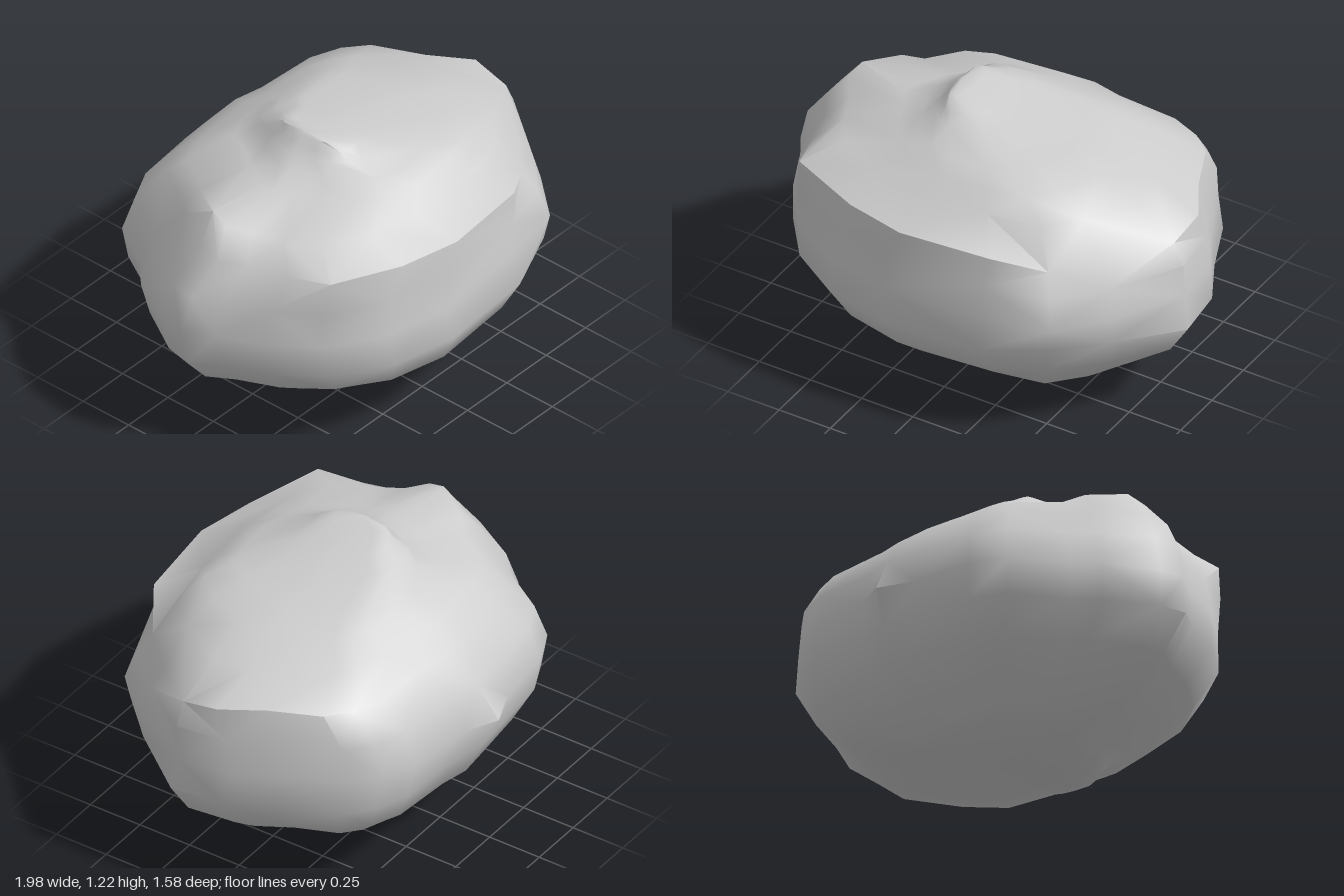
import * as THREE from 'three';
import { toCreasedNormals } from 'three/addons/utils/BufferGeometryUtils.js';

// Widest outline of the boulder seen from above (x, z)
const OUTLINE = [
  [-1, 0.02], [-0.98, -0.1], [-0.85, -0.32], [-0.75, -0.41], [-0.61, -0.63], [-0.45, -0.7],
  [-0.15, -0.73], [0.01, -0.74], [0.16, -0.71], [0.48, -0.69], [0.63, -0.63], [0.74, -0.54],
  [0.85, -0.3], [0.97, -0.1], [1, 0.15], [0.83, 0.48], [0.65, 0.69], [0.33, 0.75],
  [-0.14, 0.79], [-0.44, 0.72], [-0.68, 0.56], [-0.84, 0.35], [-0.92, 0.15],
];

// Cross-sections: height, min x, max x, back z, front z
const RINGS = [
  [0.03, -0.31, 0.04, -0.1, 0.32],
  [0.08, -0.45, 0.28, -0.36, 0.35],
  [0.13, -0.57, 0.52, -0.42, 0.42],
  [0.2, -0.68, 0.74, -0.52, 0.57],
  [0.32, -0.86, 0.9, -0.65, 0.71],
  [0.47, -0.98, 1, -0.72, 0.795],
  [0.62, -1, 0.97, -0.74, 0.765],
  [0.78, -0.95, 0.97, -0.7, 0.76],
  [0.92, -0.84, 0.96, -0.59, 0.75],
  [1.0, -0.74, 0.73, -0.48, 0.57],
  [1.07, -0.46, 0.54, -0.37, 0.5],
  [1.11, -0.35, 0.38, -0.3, 0.41],
  [1.15, -0.29, 0.1, -0.23, 0.27],
  [1.18, -0.25, 0, -0.16, 0.22],
  [1.21, -0.22, -0.14, -0.1, 0.15],
];

// Planes that chip the front left corner above and below its ledge
const CHIPS = [
  new THREE.Plane().setComponents(0.318, 0.3, 0.318, -0.609).normalize(),
  new THREE.Plane().setComponents(0.304, -0.21, 0.304, -0.274).normalize(),
];

// Knobs that stand out of the surface: centre, push, radius
const KNOBS = [
  [[-0.7, 1.0, -0.08], [0, 0.08, 0], 0.18], // upper right shoulder
  [[-0.57, 0.92, 0.55], [-0.12, 0.03, 0.02], 0.17], // front right shoulder
  [[0.01, 0.62, -0.74], [0, 0, -0.06], 0.11], // back spur
].map(([c, push, r]) => [new THREE.Vector3(...c), new THREE.Vector3(...push), r]);

function shapePoint(p, ring, j) {
  // Small uneven dents, always inward
  const dent = 0.006 * (1 + Math.sin(ring * 2.3 + j * 1.7) * Math.cos(j * 2.9 - ring * 1.1));
  p.x *= 1 - dent;
  p.z *= 1 - dent;
  const start = p.clone();
  for (const [centre, push, radius] of KNOBS) {
    p.addScaledVector(push, Math.exp(-start.distanceToSquared(centre) / radius ** 2));
  }
  // Flatten whatever stands beyond a chip plane
  for (const plane of CHIPS) {
    const over = plane.distanceToPoint(p);
    if (over > 0) p.addScaledVector(plane.normal, -over);
  }
  return p;
}

function boulderGeometry() {
  const n = OUTLINE.length;
  const positions = [];
  const index = [];
  RINGS.forEach(([y, x0, x1, z0, z1], r) => {
    OUTLINE.forEach(([ox, oz], j) => {
      const unitZ = oz / (oz < 0 ? 0.74 : 0.79);
      const p = new THREE.Vector3(
        (x0 + x1) / 2 + (ox * (x1 - x0)) / 2,
        y,
        (z0 + z1) / 2 + (unitZ * (z1 - z0)) / 2
      );
      positions.push(...shapePoint(p, r, j));
    });
  });
  const bottom = positions.length / 3;
  positions.push(-0.1, 0, 0.24, -0.2, 1.22, 0.03);
  const last = (RINGS.length - 1) * n;
  for (let j = 0; j < n; j++) {
    const k = (j + 1) % n;
    for (let r = 0; r < RINGS.length - 1; r++) {
      const a = r * n + j, b = r * n + k, c = a + n, d = b + n;
      // Alternate the diagonals for an irregular surface
      if ((r + j) % 2) index.push(a, c, b, b, c, d);
      else index.push(a, c, d, a, d, b);
    }
    index.push(bottom, j, k, bottom + 1, last + k, last + j);
  }
  const geometry = new THREE.BufferGeometry();
  geometry.setAttribute('position', new THREE.Float32BufferAttribute(positions, 3));
  geometry.setIndex(index);
  return toCreasedNormals(geometry, 0.85);
}

export function createModel() {
  const stone = new THREE.MeshStandardMaterial({ color: 0xcccccc });
  stone.name = 'grey stone';
  const boulder = new THREE.Mesh(boulderGeometry(), stone);
  boulder.name = 'boulder';
  const group = new THREE.Group();
  group.name = 'rock';
  group.add(boulder);
  return group;
}
